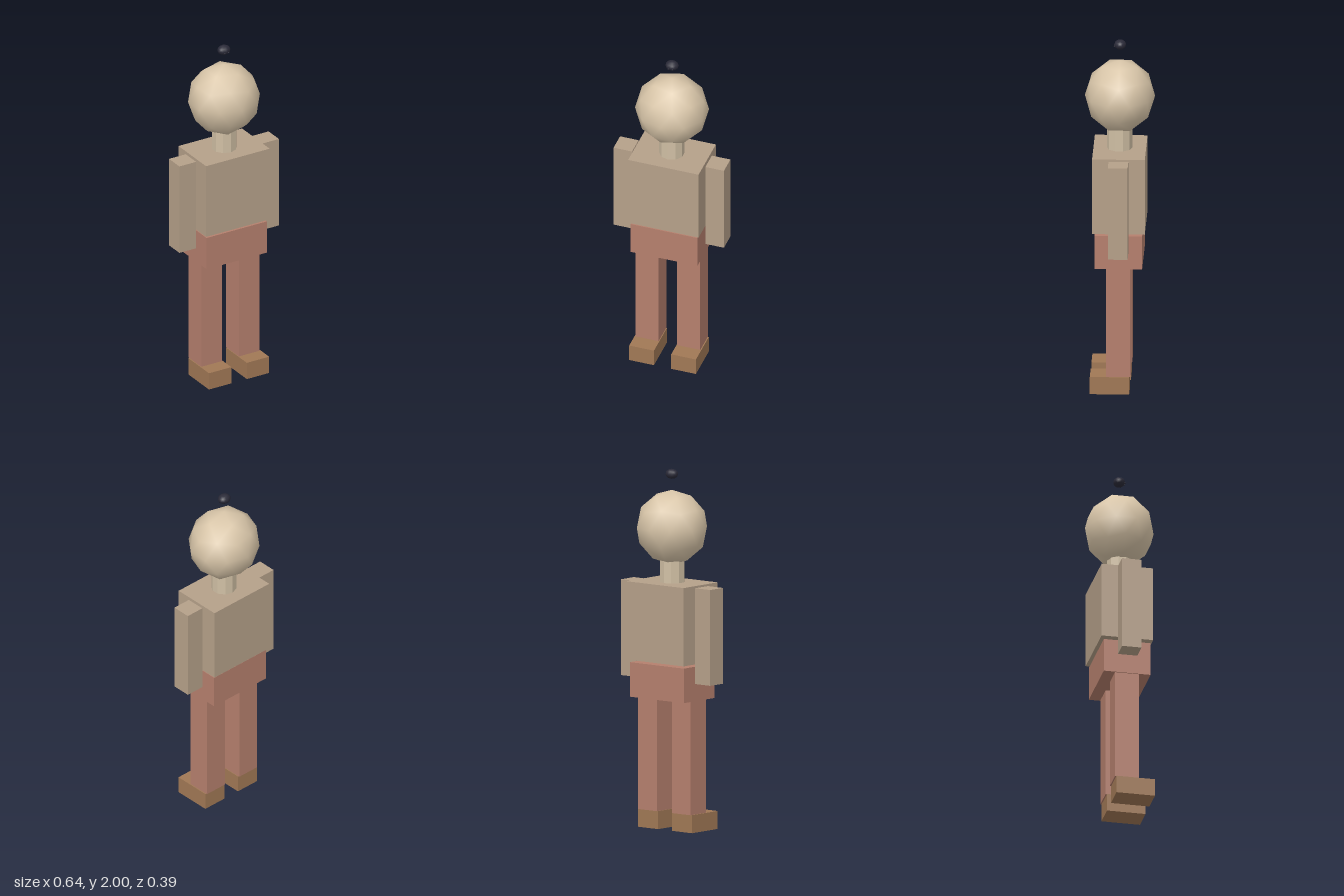
import * as THREE from 'three';

const paint = (color, flatShading = false) => new THREE.MeshStandardMaterial({ color, flatShading });
const shirt = paint(0xb5a089);
const trousers = paint(0xb57f6d);
const leather = paint(0xa07855);
const skin = paint(0xd9c6a9);
const neckSkin = paint(0xd0bfa4, true);
const dark = paint(0x2a2a38);

export function createModel() {
  const model = new THREE.Group();
  model.name = 'figure';

  function add(name, geometry, material) {
    const mesh = new THREE.Mesh(geometry, material);
    mesh.name = name;
    model.add(mesh);
    return mesh;
  }

  // Box given by its limits on each axis
  function box(name, [x0, x1], [y0, y1], [z0, z1], material) {
    const geometry = new THREE.BoxGeometry(x1 - x0, y1 - y0, z1 - z0);
    add(name, geometry, material).position.set((x0 + x1) / 2, (y0 + y1) / 2, (z0 + z1) / 2);
  }

  // Smooth low-poly ball with one corner pointing straight up
  function ball(name, radii, position, material) {
    const geometry = new THREE.IcosahedronGeometry(1, 1);
    geometry.rotateZ(-Math.atan(2 / (1 + Math.sqrt(5))));
    geometry.scale(...radii);
    add(name, geometry, material).position.set(...position);
  }

  // Body
  box('torso', [-0.205, 0.205], [0.937, 1.372], [-0.146, 0.144], shirt);
  box('pelvis', [-0.194, 0.194], [0.73, 0.922], [-0.131, 0.132], trousers);
  add('neck', new THREE.CylinderGeometry(0.07, 0.07, 0.17, 10), neckSkin).position.set(0, 1.445, 0);

  // Head and the small dark ball floating above it
  ball('head', [0.205, 0.207, 0.193], [0, 1.676, -0.002], skin);
  ball('topBall', [0.038, 0.028, 0.033], [0, 1.972, -0.003], dark);

  // Limbs and the tiny beads on the ball, mirrored
  for (const side of [1, -1]) {
    const label = side > 0 ? 'left' : 'right';
    const span = (a, b) => (side > 0 ? [a, b] : [-b, -a]);
    box(label + 'Arm', span(0.213, 0.321), [0.83, 1.362], [-0.056, 0.053], shirt);
    box(label + 'Leg', span(0.054, 0.188), [0.1, 0.73], [-0.067, 0.067], trousers);
    box(label + 'Shoe', span(0.05, 0.194), [0, 0.1], [-0.06, 0.157], leather);
    ball(label + 'Bead', [0.004, 0.004, 0.004], [side * 0.012, 1.965, 0.028], dark);
  }
  return model;
}
